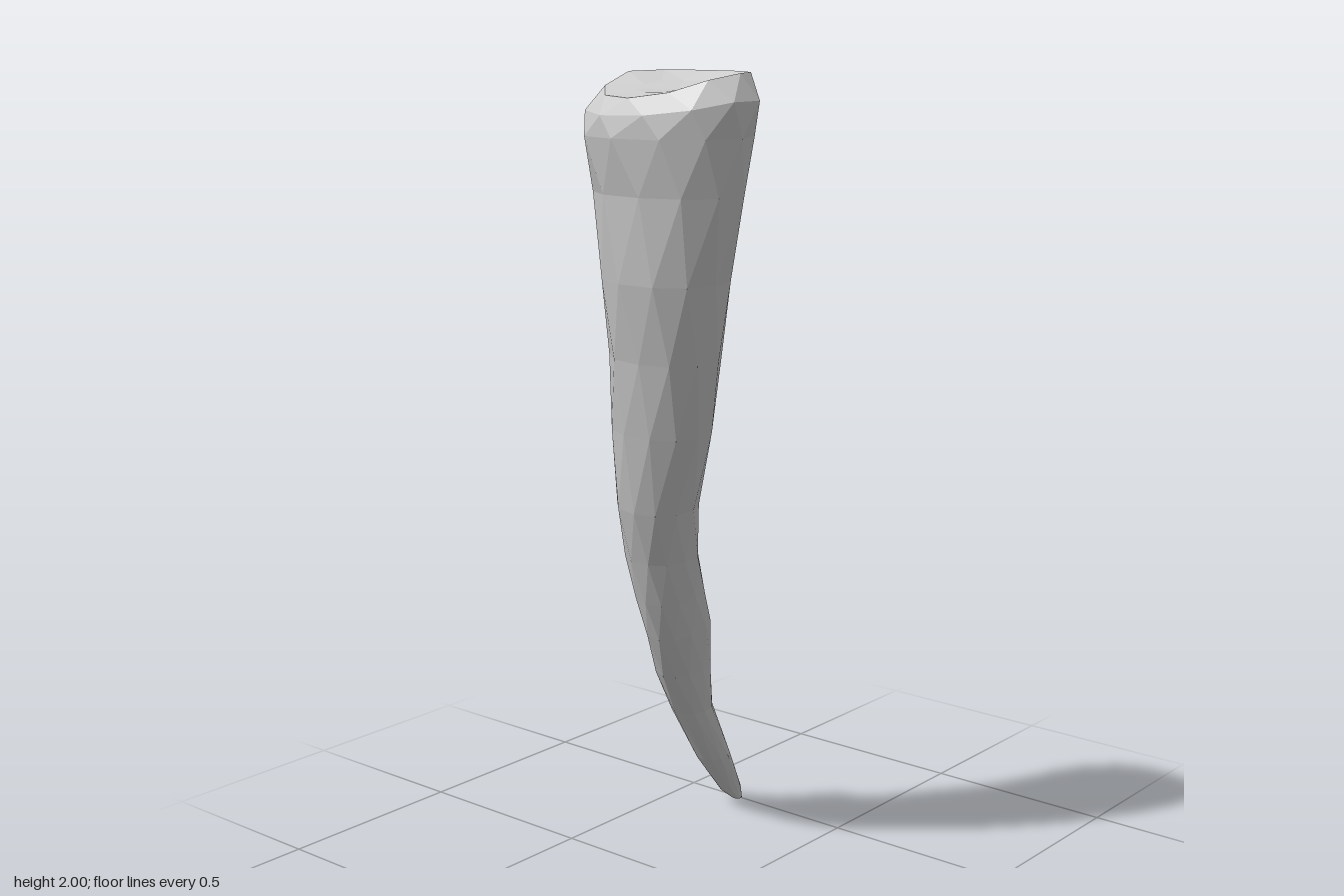
import * as THREE from 'three';

// Cross-sections from tip to root:
// [y, xMin, xMax, zBack, zFront, skew of the oval, drop at the front left]
const SECTIONS = [
  [0.0, -0.335, -0.335, -0.49, -0.49],
  [0.005, -0.35, -0.32, -0.5, -0.475],
  [0.04, -0.36, -0.312, -0.495, -0.43],
  [0.18, -0.346, -0.262, -0.395, -0.3],
  [0.36, -0.315, -0.218, -0.28, -0.155, 0.1],
  [0.5, -0.288, -0.165, -0.225, -0.045, 0.2],
  [0.63, -0.258, -0.11, -0.18, 0.045, 0.3],
  [0.74, -0.23, -0.068, -0.105, 0.11, 0.25],
  [0.86, -0.207, -0.025, -0.03, 0.17, 0.2],
  [1.0, -0.18, 0.03, 0.03, 0.235, 0.2],
  [1.2, -0.135, 0.125, 0.085, 0.307, 0.2],
  [1.38, -0.088, 0.195, 0.133, 0.365, 0.15],
  [1.56, -0.055, 0.25, 0.17, 0.425, 0.1],
  [1.75, -0.035, 0.315, 0.2, 0.465],
  [1.87, -0.028, 0.345, 0.22, 0.5, -0.1],
  [1.945, -0.01, 0.365, 0.23, 0.5, -0.15, 0.03],
  [2.0, 0.03, 0.335, 0.238, 0.48, -0.15, 0.05],
  [1.98, 0.1, 0.28, 0.285, 0.425, -0.15, 0.02],
  [1.965, 0.18, 0.18, 0.35, 0.35],
];
const SIDES = 11;
const FRONT_LEFT = 1.9; // direction in which the rim dips

// Point on a section, slightly fuller than an ellipse, each row turned a little
function sectionPoint([y, x0, x1, z0, z1, skew = 0, drop = 0], row, i) {
  const a = ((i % SIDES) / SIDES) * Math.PI * 2 + (row % 2) * (Math.PI / SIDES);
  const full = (v) => Math.sign(v) * Math.pow(Math.abs(v), 0.92);
  return [
    (x0 + x1) / 2 + (full(Math.cos(a)) * (x1 - x0)) / 2,
    y - drop * Math.max(0, Math.cos(a - FRONT_LEFT)),
    (z0 + z1) / 2 + (full(Math.sin(a + skew)) * (z1 - z0)) / 2,
  ];
}

function buildHorn() {
  const pos = [];
  const p = (r, i) => sectionPoint(SECTIONS[r], r, i);
  for (let r = 0; r < SECTIONS.length - 1; r++) {
    for (let i = 0; i < SIDES; i++) {
      // alternate rows are offset by half a side, giving staggered facets
      if (r % 2 === 0) {
        pos.push(...p(r, i), ...p(r + 1, i), ...p(r, i + 1));
        pos.push(...p(r, i + 1), ...p(r + 1, i), ...p(r + 1, i + 1));
      } else {
        pos.push(...p(r, i), ...p(r + 1, i), ...p(r + 1, i + 1));
        pos.push(...p(r, i), ...p(r + 1, i + 1), ...p(r, i + 1));
      }
    }
  }
  const geometry = new THREE.BufferGeometry();
  geometry.setAttribute('position', new THREE.Float32BufferAttribute(pos, 3));
  geometry.computeVertexNormals(); // unshared corners keep facets flat
  return geometry;
}

export function createModel() {
  const model = new THREE.Group();
  model.name = 'curvedHorn';
  const grey = new THREE.MeshStandardMaterial({ color: 0xcccccc });
  grey.name = 'lightGrey';

  // Tapered, bent shaft with its dented root cap
  const horn = new THREE.Mesh(buildHorn(), grey);
  horn.name = 'hornShaft';
  model.add(horn);
  return model;
}
